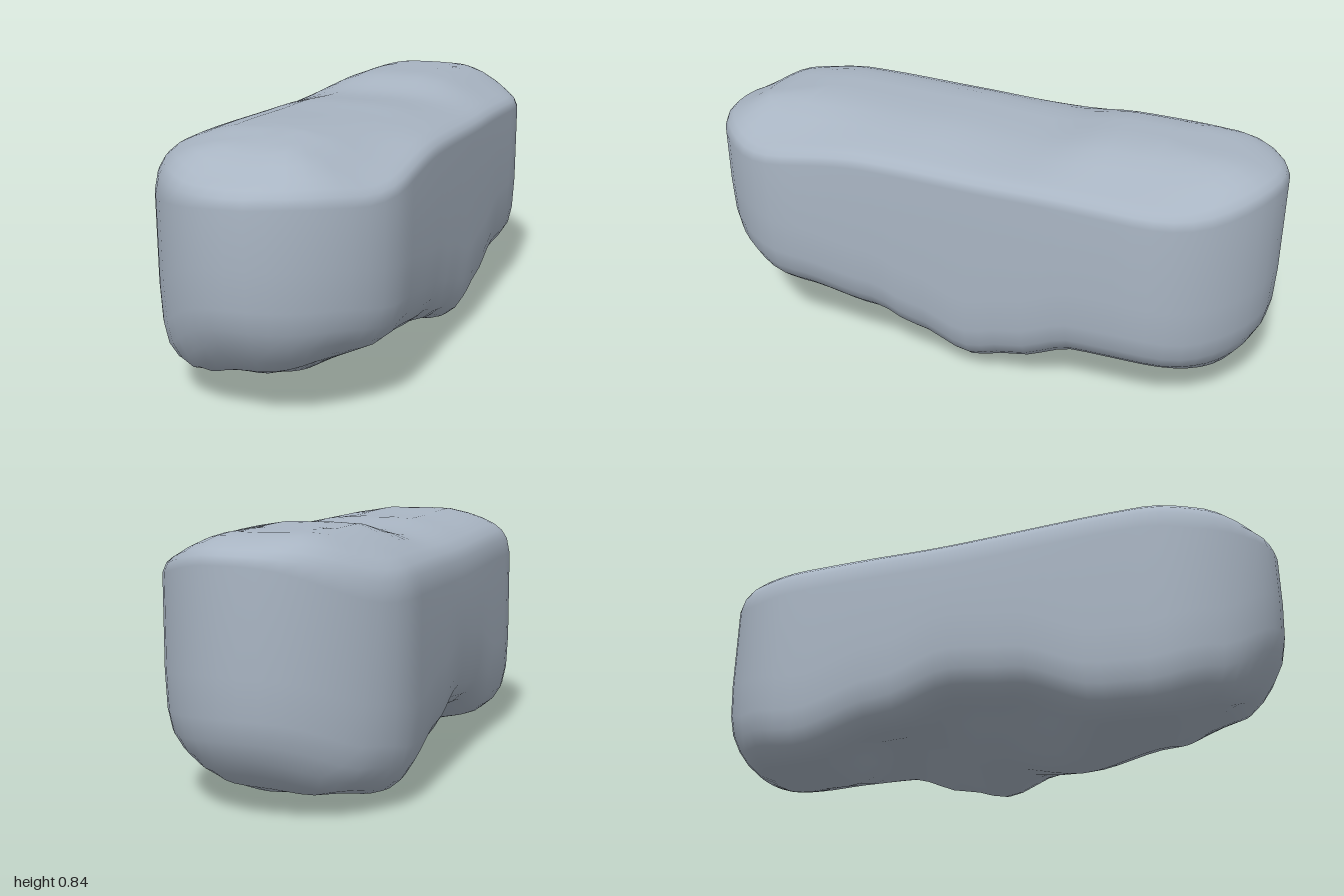
import * as THREE from 'three';
import { mergeVertices } from 'three/addons/utils/BufferGeometryUtils.js';

const HALF_WIDTH = 0.395, CAP = 0.4, SPINE = 0.6;
const { lerp, smoothstep } = THREE.MathUtils;

// Smooth interpolation through [position, value] keys
function sample(keys, p) {
  if (p <= keys[0][0]) return keys[0][1];
  for (let i = 1; i < keys.length; i++) {
    const [a, va] = keys[i - 1], [b, vb] = keys[i];
    if (p <= b) return lerp(va, vb, smoothstep(p, a, b));
  }
  return keys[keys.length - 1][1];
}

// Height of the worn top along z, on the crown and towards the long edges
const topCrown = [[-1, 0.8], [-0.8, 0.825], [-0.45, 0.835], [-0.2, 0.8], [0.15, 0.825], [0.6, 0.84], [0.77, 0.825], [0.95, 0.765], [1, 0.755]];
const topRightEdge = [[-0.8, 0.76], [-0.2, 0.77], [0.6, 0.8], [0.9, 0.78]];
const topLeftEdge = [[-0.9, 0.75], [-0.2, 0.775], [0.3, 0.79], [0.8, 0.74]];
function topHeight(x, z) {
  const crown = sample(topCrown, z);
  return sample([[-0.37, sample(topRightEdge, z)], [-0.12, crown], [0.08, crown], [0.37, sample(topLeftEdge, z)]], x);
}

// Height of the underside along z, on the right, the middle and the left
const bottomRight = [[-1, 0.14], [-0.8, 0.06], [-0.6, 0.025], [-0.3, 0.1], [-0.05, 0.17], [0.15, 0.15], [0.45, 0.05], [0.6, 0.045], [0.8, 0.09], [1, 0.2]];
const bottomMiddle = [[-1, 0.15], [-0.8, 0.06], [-0.6, 0.06], [-0.33, 0.16], [0, 0.05], [0.3, 0], [0.6, 0.06], [0.8, 0.13], [1, 0.24]];
const bottomLeft = [[-1, 0.15], [-0.8, 0.12], [-0.6, 0.14], [-0.42, 0.14], [-0.2, 0.07], [-0.05, 0.035], [0.15, 0.1], [0.3, 0.15], [0.6, 0.19], [1, 0.25]];
function bottomHeight(x, z) {
  return sample([[-0.3, sample(bottomRight, z)], [0, sample(bottomMiddle, z)], [0.3, sample(bottomLeft, z)]], x);
}

// Rounded-ended plan outline: direction from the spine and spine position
function planOutline() {
  const points = [], capSteps = 20, sideSteps = 24;
  for (const end of [1, -1]) {
    for (let i = 0; i < capSteps; i++) {
      const a = Math.PI * i / capSteps;
      const r = end * (1 - 0.03 * Math.sin(2 * a) ** 2); // slightly flattened corners
      points.push([r * Math.cos(a), r * Math.sin(a), end * SPINE]);
    }
    for (let i = 0; i < sideSteps; i++) {
      points.push([-end, 0, end * SPINE * (1 - 2 * i / sideSteps)]);
    }
  }
  return points;
}

// Lower and upper edge profiles: [scale from the spine, distance from the surface]
const lower = [[0, 0], [0.25, 0], [0.5, 0], [0.68, 0.005], [0.79, 0.02], [0.88, 0.05], [0.95, 0.095], [0.985, 0.16], [1, 0.28]];
const upper = [[1, 0.15], [0.97, 0.085], [0.92, 0.05], [0.84, 0.025], [0.72, 0.01], [0.58, 0.003], [0.4, 0], [0.2, 0], [0, 0]];

function rockGeometry() {
  const outline = planOutline(), n = outline.length;
  const positions = [], indices = [];
  const addRing = (s, yAt) => {
    for (const [dx, dz, cz] of outline) {
      const x = HALF_WIDTH * s * dx, z = cz + CAP * s * dz;
      positions.push(x, yAt(x, z, dx), z);
    }
  };
  for (const [s, rise] of lower) addRing(s, (x, z) => bottomHeight(x, z) + rise);
  // The shoulder is softer on the right side than elsewhere
  for (const [s, drop] of upper) {
    addRing(s, (x, z, dx) => topHeight(x, z) - drop * (0.4 + 0.5 * smoothstep(-dx, 0, 1)));
  }
  const rings = lower.length + upper.length;
  for (let r = 0; r < rings - 1; r++) {
    for (let i = 0; i < n; i++) {
      const a = r * n + i, b = r * n + (i + 1) % n;
      const c = a + n, d = b + n;
      indices.push(a, c, b, b, c, d);
    }
  }
  let geometry = new THREE.BufferGeometry();
  geometry.setAttribute('position', new THREE.Float32BufferAttribute(positions, 3));
  geometry.setIndex(indices);
  geometry = mergeVertices(geometry, 1e-4);
  geometry.computeBoundingBox();
  geometry.translate(0, -geometry.boundingBox.min.y, 0);
  geometry.computeVertexNormals();
  return geometry;
}

export function createModel() {
  const group = new THREE.Group();
  group.name = 'boulder';
  const stone = new THREE.MeshStandardMaterial({ color: 0xa9b5c3 });
  stone.name = 'blue grey stone';
  const rock = new THREE.Mesh(rockGeometry(), stone);
  rock.name = 'rock';
  group.add(rock);
  return group;
}
